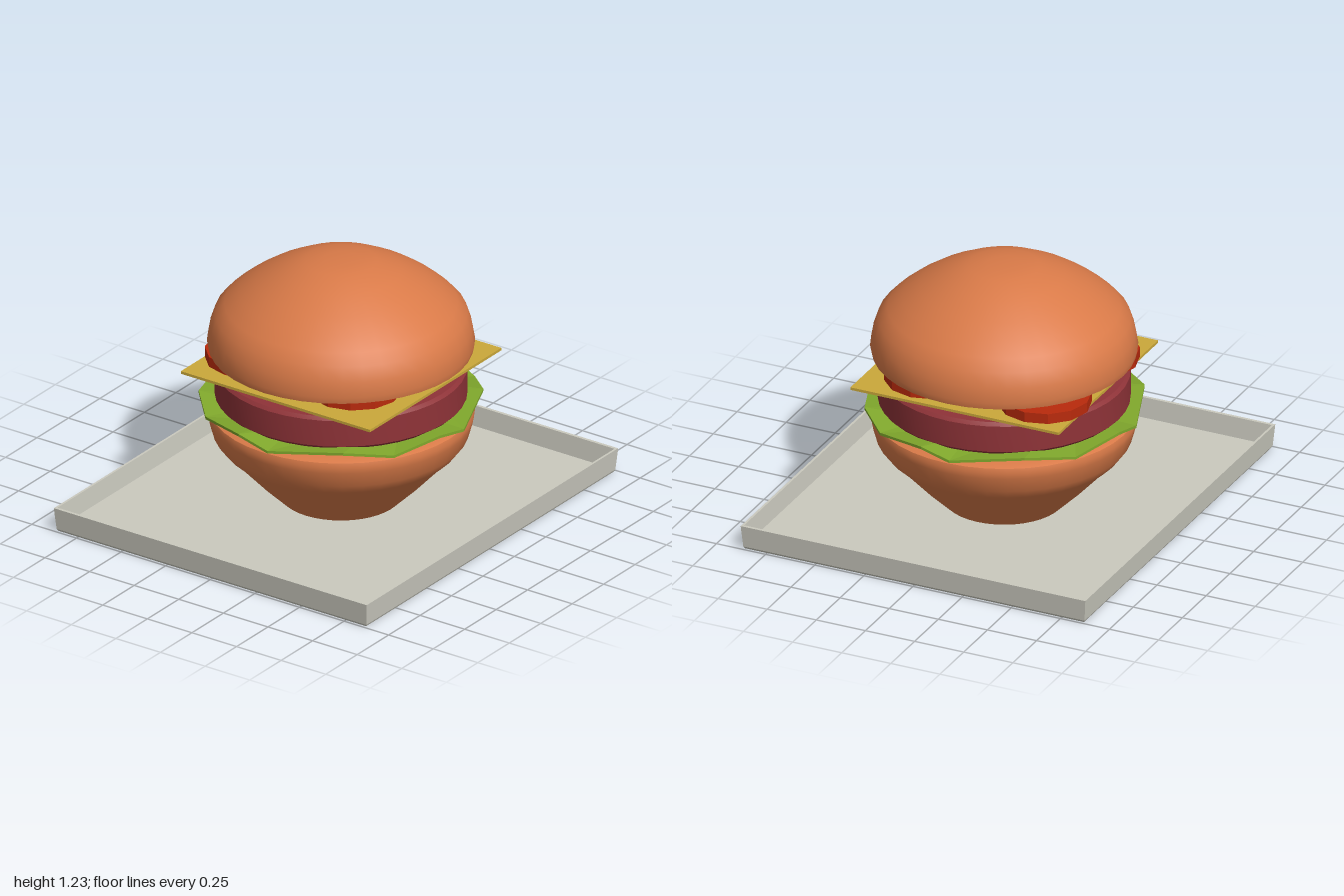
import * as THREE from 'three';
import { toCreasedNormals } from 'three/addons/utils/BufferGeometryUtils.js';

const mat = (name, color, flatShading = false) => {
  const m = new THREE.MeshStandardMaterial({ color, flatShading });
  m.name = name;
  return m;
};

// Skin through closed rings of [x, y, z] points, ordered from underside to top
function loft(rings) {
  const pos = [];
  for (let r = 0; r < rings.length - 1; r++) {
    const a = rings[r], b = rings[r + 1], n = a.length;
    for (let i = 0; i < n; i++) {
      const j = (i + 1) % n;
      pos.push(...a[i], ...b[i], ...a[j], ...b[i], ...b[j], ...a[j]);
    }
  }
  const g = new THREE.BufferGeometry();
  g.setAttribute('position', new THREE.Float32BufferAttribute(pos, 3));
  g.computeVertexNormals();
  return g;
}

function lathe(profile, segments, crease) {
  const pts = profile.map(([r, y]) => new THREE.Vector2(r, y));
  return toCreasedNormals(new THREE.LatheGeometry(pts, segments), crease);
}

export function createModel() {
  const root = new THREE.Group();
  root.name = 'burgerOnTray';
  const burger = new THREE.Group();
  burger.name = 'burger';
  burger.position.z = -0.04;
  root.add(burger);

  const bunMat = mat('bun', 0xd97a48);
  const pattyMat = mat('meat', 0x8f3338);
  const lettuceMat = mat('lettuce', 0x80a82c);
  const cheeseMat = mat('cheese', 0xcaa83a);
  const tomatoMat = mat('tomato', 0xb92a0c);
  const trayMat = mat('tray', 0xcac9be);

  const add = (parent, name, geo, material, x = 0, y = 0, z = 0) => {
    const mesh = new THREE.Mesh(geo, material);
    mesh.name = name;
    mesh.position.set(x, y, z);
    parent.add(mesh);
    return mesh;
  };

  // Tray: thin flared walls around a low floor
  const rect = (hx, hz, y) => [[hx, y, hz], [-hx, y, hz], [-hx, y, -hz], [hx, y, -hz]];
  add(root, 'tray', loft([
    rect(0, 0, 0), rect(0.863, 0.985, 0), rect(0.868, 0.99, 0.01), rect(0.877, 1, 0.117),
    rect(0.866, 0.985, 0.117), rect(0.857, 0.972, 0.02), rect(0, 0, 0.02),
  ]), trayMat);

  // Buns
  add(burger, 'bottomBun', lathe([
    [0, 0.022], [0.28, 0.022], [0.38, 0.12], [0.5, 0.25], [0.55, 0.295], [0.587, 0.345],
    [0.608, 0.42], [0.614, 0.45], [0.608, 0.473], [0.58, 0.485], [0, 0.487],
  ], 40, 0.75), bunMat);
  add(burger, 'topBun', lathe([
    [0, 0.768], [0.58, 0.767], [0.608, 0.778], [0.615, 0.81], [0.603, 0.88], [0.58, 0.95],
    [0.535, 1.0], [0.47, 1.055], [0.39, 1.11], [0.28, 1.17], [0.165, 1.214], [0.08, 1.222], [0, 1.225],
  ], 40, 0.75), bunMat);

  // Lettuce: thin leaf whose rim waves up and down
  const angles = [11, 33, 54, 86, 101, 127, 145, 176, 190, 214, 236, 267, 280, 305, 323, 355];
  const leafRing = (r, y, wave) => angles.map((deg, i) => {
    const a = deg * Math.PI / 180;
    return [r * Math.cos(a), y + (i % 2 ? 0 : wave), r * Math.sin(a)];
  });
  add(burger, 'lettuce', loft([
    leafRing(0, 0.515, 0), leafRing(0.4, 0.515, 0), leafRing(0.652, 0.5, 0.035),
    leafRing(0.652, 0.513, 0.035), leafRing(0.4, 0.528, 0), leafRing(0, 0.528, 0),
  ]), lettuceMat);

  // Patty with softened edges
  add(burger, 'patty', lathe([
    [0, 0.53], [0.565, 0.53], [0.58, 0.545], [0.58, 0.675], [0.565, 0.69], [0, 0.69],
  ], 40, 0.5), pattyMat);

  // Cheese slice
  add(burger, 'cheese', new THREE.BoxGeometry(1.06, 0.013, 1.045), cheeseMat, 0, 0.7, 0);

  // Four tomato slices
  const slice = toCreasedNormals(new THREE.CylinderGeometry(0.216, 0.216, 0.05, 12), 0.3);
  for (const x of [-0.342, 0.237])
    for (const z of [-0.28, 0.225])
      add(burger, 'tomatoSlice', slice, tomatoMat, x, 0.733, z);

  return root;
}
